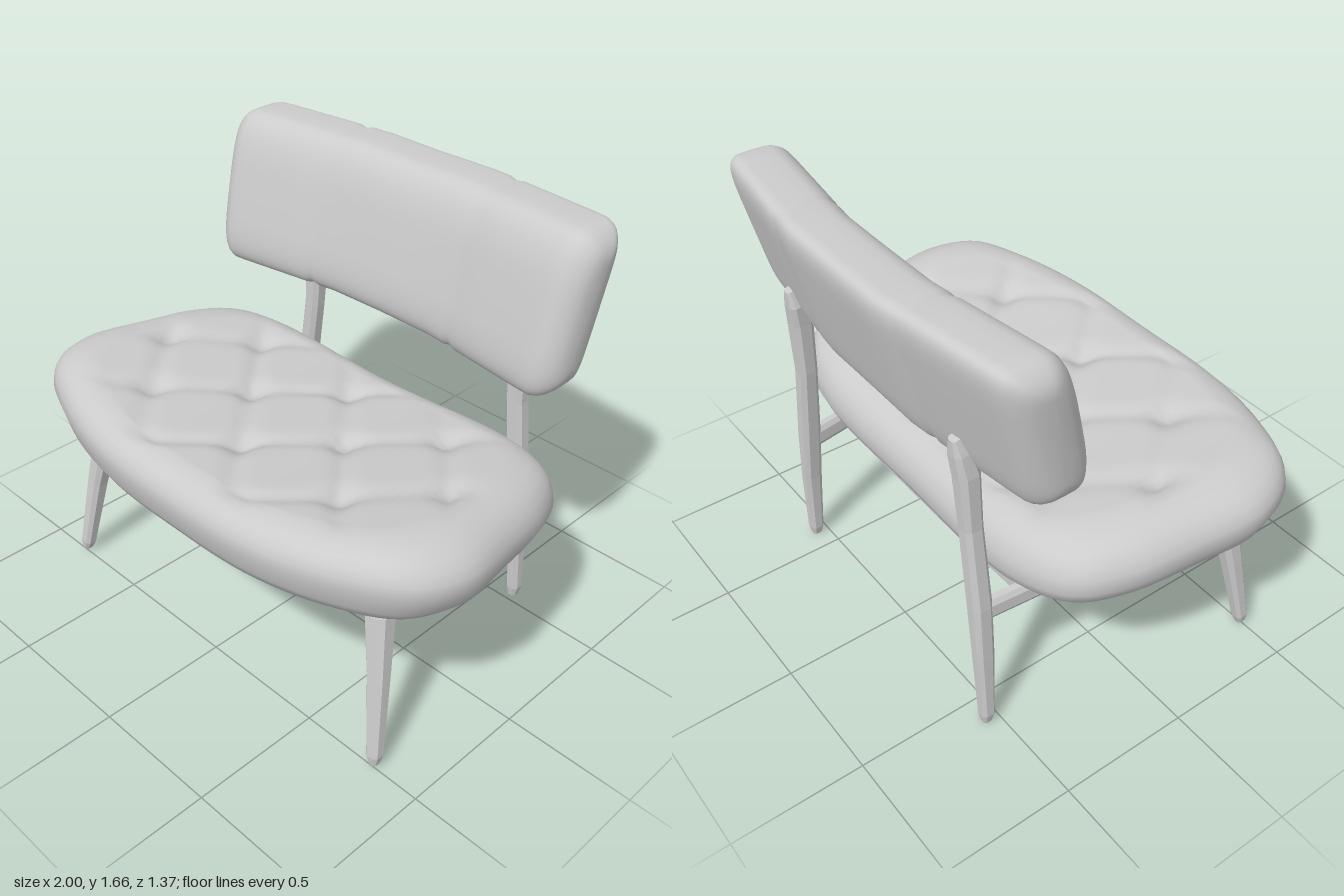
import * as THREE from 'three';

const V = (x, y, z) => new THREE.Vector3(x, y, z);
const spow = (v, e) => Math.sign(v) * Math.pow(Math.abs(v), e);

// Skin over closed rings of equal length, with capped ends
function loft(rings) {
  const n = rings[0].length, pos = [], idx = [];
  rings.forEach(r => r.forEach(p => pos.push(p.x, p.y, p.z)));
  for (let i = 0; i < rings.length - 1; i++) {
    for (let j = 0; j < n; j++) {
      const a = i * n + j, b = i * n + (j + 1) % n;
      idx.push(a, b, b + n, a, b + n, a + n);
    }
  }
  [0, rings.length - 1].forEach((k, end) => {
    const c = rings[k].reduce((s, p) => s.add(p), V(0, 0, 0)).divideScalar(n);
    const ci = pos.length / 3;
    pos.push(c.x, c.y, c.z);
    for (let j = 0; j < n; j++) {
      const a = k * n + j, b = k * n + (j + 1) % n;
      if (end) idx.push(ci, a, b); else idx.push(ci, b, a);
    }
  });
  const g = new THREE.BufferGeometry();
  g.setAttribute('position', new THREE.Float32BufferAttribute(pos, 3));
  g.setIndex(idx);
  g.computeVertexNormals();
  return g;
}

// Wooden bar through stations [x, y, z, width, depth]; ref sets the twist
function bar(stations, ref, n = 8) {
  const pts = stations.map(s => V(s[0], s[1], s[2]));
  return loft(stations.map(([, , , w, h], i) => {
    const d = pts[Math.min(i + 1, pts.length - 1)].clone().sub(pts[Math.max(i - 1, 0)]).normalize();
    const u = ref.clone().cross(d).normalize(), v = d.clone().cross(u);
    return Array.from({ length: n }, (_, j) => {
      const a = (j + 0.5) / n * Math.PI * 2;
      return pts[i].clone()
        .addScaledVector(u, spow(Math.cos(a), 0.7) * w / 2)
        .addScaledVector(v, spow(Math.sin(a), 0.7) * h / 2);
    });
  }));
}

// Seat pad: rounded trapezoid with diamond tufting on top
function seatGeometry() {
  const half = [[0.4, 0.675], [0.7, 0.6], [0.92, 0.48], [1, 0.3], [0.97, 0.05], [0.92, -0.2], [0.83, -0.36], [0.62, -0.45]];
  const outline = [[0, 0.69], ...half, [0, -0.46], ...half.slice().reverse().map(([x, z]) => [-x, z])];
  const curve = new THREE.CatmullRomCurve3(outline.map(([x, z]) => V(x, 0, z)), true);
  const edge = curve.getSpacedPoints(128).slice(0, 128);

  const bottom = (x, z) => 0.6 + 0.05 * z + 0.035 * x * x;
  const top = (x, z) => 0.845 + 0.065 * Math.min(1, (x / 0.85) ** 2) + 0.07 * z;
  const tuft = (x, z, s) => {
    const k = (z + 0.2) / 0.54, q = x / 0.48;
    const du = q + k - Math.round(q + k), dv = q - k - Math.round(q - k);
    const crease = Math.max(Math.exp(-((du / 0.09) ** 2)), Math.exp(-((dv / 0.09) ** 2)));
    const button = Math.exp(-(du * du + dv * dv) / 0.025);
    const fade = THREE.MathUtils.smoothstep(0.92 - s, 0, 0.2);
    return fade * (0.012 * crease + 0.035 * button);
  };

  // [scale, t]: t below 0 runs along the underside curve, above 0 along the top curve
  const steps = [[0.02, -1], [0.5, -1], [0.86, -1], [0.93, -0.85], [0.97, -0.55], [1, 0]];
  [[0.99, 0.3], [0.97, 0.53], [0.94, 0.7], [0.9, 0.84], [0.85, 0.94]].forEach(p => steps.push(p));
  for (let i = 0; i <= 26; i++) steps.push([0.8 - 0.03 * i, 1]);
  return loft(steps.map(([s, t]) => edge.map(e => {
    const x = e.x * s, z = 0.1 + (e.z - 0.1) * s;
    const lo = bottom(x, z), hi = top(x, z);
    const rim = lo + (hi - lo) * (0.42 + 0.15 * z);
    const y = t < 0 ? rim + (rim - lo) * t : rim + (hi - rim) * t;
    return V(x, y - (t === 1 ? tuft(x, z, s) : 0), z);
  })));
}

// Back cushion: three panels, the outer two bent forward, leaning back
function backGeometry() {
  const h = [0, 0.12, 0.24, 0.32, 0.35, 0.38, 0.48, 0.6, 0.7, 0.745, 0.77, 0.79, 0.81, 0.825, 0.835, 0.84];
  const xs = [...h.slice(1).reverse().map(x => -x), ...h];
  const r = 0.11, n = 48;
  return loft(xs.map(x => {
    const ax = Math.abs(x), o = Math.max(0, ax - (0.84 - r));
    const inset = r - Math.sqrt(Math.max(0, r * r - o * o)) + (Math.abs(ax - 0.35) < 0.01 ? 0.006 : 0);
    const hy = 0.28 - inset + 0.008 * Math.min(1, ax / 0.7), hz = 0.13 - inset;
    const zc = -0.505 + 0.065 * THREE.MathUtils.clamp((ax - 0.25) / 0.5, 0, 1);
    return Array.from({ length: n }, (_, j) => {
      const a = j / n * Math.PI * 2, c = Math.cos(a), s = Math.sin(a);
      const e = s < 0 ? 0.36 : 0.55;
      const dy = hy * spow(c, e);
      return V(x * (1 + 0.06 * (dy - 0.15)), 1.375 + dy, zc + hz * spow(s, e) - 0.24 * dy);
    });
  }));
}

export function createModel() {
  const chair = new THREE.Group();
  chair.name = 'loungeChair';
  const fabric = new THREE.MeshStandardMaterial({ color: 0xcccccc });
  const wood = new THREE.MeshStandardMaterial({ color: 0xcccccc, flatShading: true });
  const add = (name, geometry, material) => {
    const m = new THREE.Mesh(geometry, material);
    m.name = name;
    chair.add(m);
  };
  const Y = V(0, 1, 0), Z = V(0, 0, 1);

  add('seatCushion', seatGeometry(), fabric);
  add('backCushion', backGeometry(), fabric);

  for (const [side, s] of [['left', 1], ['right', -1]]) {
    // Splayed front legs
    add(side + 'FrontLeg', bar([
      [s * 0.81, 0.015, 0.495, 0.03, 0.035], [s * 0.805, 0.05, 0.49, 0.055, 0.055],
      [s * 0.765, 0.35, 0.44, 0.075, 0.075], [s * 0.725, 0.58, 0.4, 0.1, 0.095],
      [s * 0.715, 0.66, 0.385, 0.07, 0.07]], Z), wood);
    // Back legs rise to carry the back cushion
    add(side + 'BackLeg', bar([
      [s * 0.595, 0, -0.545, 0.035, 0.04], [s * 0.595, 0.04, -0.545, 0.055, 0.055],
      [s * 0.58, 0.32, -0.543, 0.06, 0.075], [s * 0.56, 0.55, -0.54, 0.075, 0.08],
      [s * 0.52, 0.88, -0.54, 0.075, 0.075], [s * 0.51, 1.1, -0.545, 0.085, 0.085],
      [s * 0.5, 1.19, -0.56, 0.08, 0.07], [s * 0.5, 1.25, -0.575, 0.04, 0.04]], Z), wood);
    // Side rails under the seat
    add(side + 'Rail', bar([
      [s * 0.69, 0.59, 0.37, 0.05, 0.07], [s * 0.66, 0.57, 0.2, 0.05, 0.09],
      [s * 0.6, 0.535, -0.2, 0.05, 0.09], [s * 0.56, 0.52, -0.52, 0.05, 0.09]], Y), wood);
  }

  // Cross rails
  add('frontRail', bar([
    [-0.68, 0.58, 0.33, 0.05, 0.06], [-0.4, 0.575, 0.32, 0.05, 0.06],
    [0.4, 0.575, 0.32, 0.05, 0.06], [0.68, 0.58, 0.33, 0.05, 0.06]], Y), wood);
  add('backRail', bar([
    [-0.58, 0.53, -0.36, 0.05, 0.08], [-0.3, 0.52, -0.36, 0.05, 0.08],
    [0.3, 0.52, -0.36, 0.05, 0.08], [0.58, 0.53, -0.36, 0.05, 0.08]], Y), wood);
  return chair;
}
